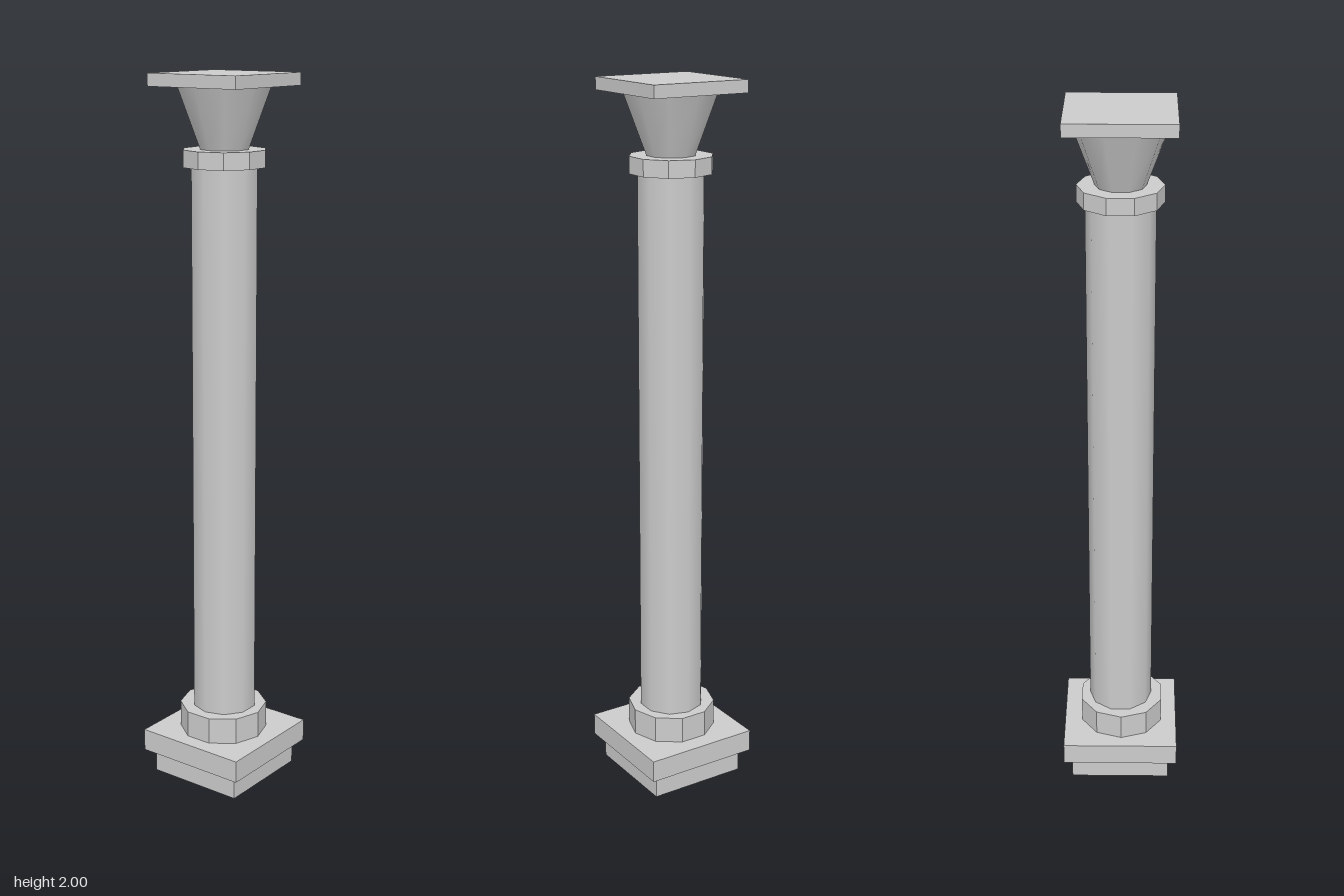
import * as THREE from 'three';

const SIDES = 10;
const smooth = new THREE.MeshStandardMaterial({ color: 0xcccccc });
const faceted = new THREE.MeshStandardMaterial({ color: 0xcccccc, flatShading: true });
const shell = new THREE.MeshStandardMaterial({ color: 0xcccccc, flatShading: true, side: THREE.DoubleSide });

// Ten-sided drum between two heights
function drum(name, rTop, rBottom, y0, y1, material, turn = 0) {
  const geometry = new THREE.CylinderGeometry(rTop, rBottom, y1 - y0, SIDES);
  geometry.rotateY(turn);
  const mesh = new THREE.Mesh(geometry, material);
  mesh.name = name;
  mesh.position.y = (y0 + y1) / 2;
  return mesh;
}

export function createModel() {
  const column = new THREE.Group();
  column.name = 'column';

  // Stepped square plinth: a hollow shell, open underneath
  const profile = [[0.143, 0], [0.143, 0.068], [0.167, 0.068], [0.167, 0.132], [0, 0.132]]
    .map(([half, y]) => new THREE.Vector2(half * Math.SQRT2, y));
  const plinth = new THREE.Mesh(new THREE.LatheGeometry(profile, 4, Math.PI / 4), shell);
  plinth.name = 'plinth';
  column.add(plinth);

  // Round parts, from the base ring up to the flared capital
  const baseRing = drum('baseRing', 0.125, 0.125, 0.132, 0.208, faceted, Math.PI / SIDES);
  baseRing.position.x = -0.002;
  baseRing.position.z = 0.003;
  column.add(
    baseRing,
    drum('shaft', 0.092, 0.092, 0.2, 1.78, smooth),
    drum('neckRing', 0.114, 0.114, 1.757, 1.803, faceted),
    drum('capital', 0.129, 0.066, 1.8, 1.967, smooth),
  );

  // Square slab on top
  const abacus = new THREE.Mesh(new THREE.BoxGeometry(0.287, 0.034, 0.287), faceted);
  abacus.name = 'abacus';
  abacus.position.y = 1.983;
  column.add(abacus);

  return column;
}
